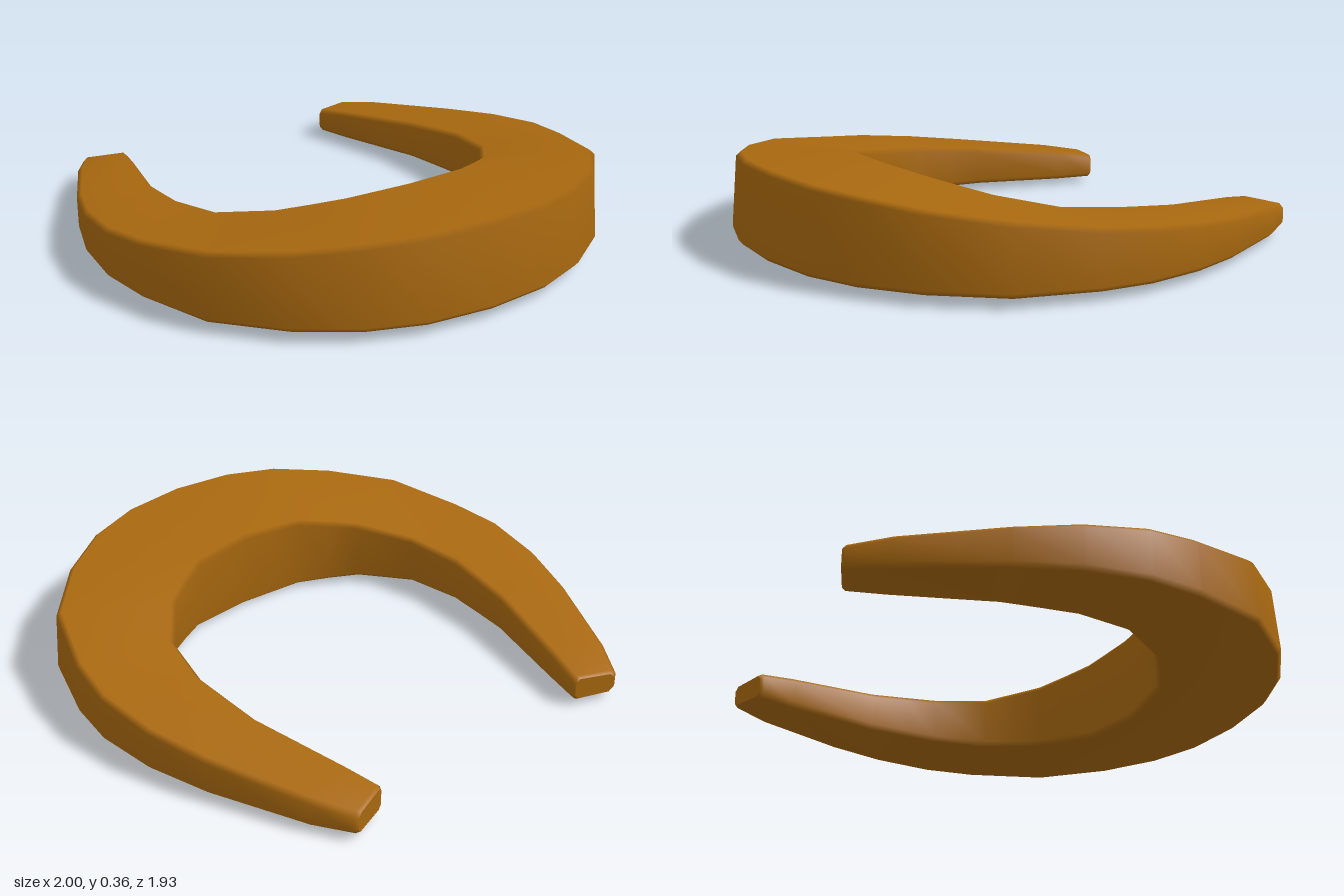
import * as THREE from 'three';

// Half of the shoe from toe to heel:
// outer x, z, top, bottom, then inner x, z, top, bottom
const HALF = [
  [0, 0.965, 0.365, 0.04, 0, 0.44, 0.335, 0],
  [0.26, 0.94, 0.36, 0.04, 0.125, 0.425, 0.33, 0.005],
  [0.47, 0.865, 0.35, 0.04, 0.25, 0.41, 0.325, 0.01],
  [0.68, 0.725, 0.325, 0.04, 0.36, 0.35, 0.305, 0.02],
  [0.88, 0.5, 0.295, 0.038, 0.46, 0.29, 0.285, 0.028],
  [0.975, 0.2, 0.255, 0.035, 0.6, 0.11, 0.245, 0.038],
  [1, 0, 0.235, 0.035, 0.645, -0.11, 0.222, 0.038],
  [0.973, -0.24, 0.208, 0.033, 0.633, -0.25, 0.205, 0.035],
  [0.9, -0.47, 0.18, 0.028, 0.62, -0.39, 0.188, 0.032],
  [0.74, -0.82, 0.14, 0.022, 0.52, -0.76, 0.147, 0.024],
  [0.65, -0.968, 0.115, 0.027, 0.48, -0.905, 0.125, 0.025],
];
const BEVEL = 0.018;

// Four-cornered section with every corner cut into a small bevel
function section([ox, oz, ot, ob, ix, iz, it, ib]) {
  const lean = 1 - 0.03 * Math.max(0, oz);   // outer wall leans in at the toe
  const under = 1 + 0.13 * Math.max(0, iz);  // inner wall undercuts at the toe
  const c = [
    new THREE.Vector3(ox * lean, ot, oz * lean),
    new THREE.Vector3(ox, ob, oz),
    new THREE.Vector3(ix * under, ib, iz * under),
    new THREE.Vector3(ix, it, iz),
  ];
  const toward = (a, b) => a.clone().add(b.clone().sub(a).setLength(BEVEL));
  return c.flatMap((p, k) => [toward(p, c[(k + 3) % 4]), toward(p, c[(k + 1) % 4])]);
}

// Heel tip: pull the last full ring back and add a smaller ring at the end
function bevelEnd(rings) {
  const last = rings[rings.length - 1];
  const prev = rings[rings.length - 2];
  const centre = last.reduce((s, p) => s.add(p), new THREE.Vector3()).divideScalar(last.length);
  rings[rings.length - 1] = last.map((p, j) => p.clone().lerp(prev[j], 0.08));
  rings.push(last.map((p) => p.clone().lerp(centre, 0.12)));
}

function shoeGeometry() {
  const mirrored = HALF.slice(1).reverse().map((s) => s.map((v, k) => (k % 4 === 0 ? -v : v)));
  const rings = [...mirrored, ...HALF].map(section);
  bevelEnd(rings);
  rings.reverse();
  bevelEnd(rings);
  rings.reverse();

  const n = 8;
  const last = rings.length - 1;
  const index = [];
  // Skin between neighbouring sections
  for (let i = 0; i < last; i++) {
    for (let j = 0; j < n; j++) {
      const k = (j + 1) % n;
      const a = i * n + j, b = i * n + k, c = (i + 1) * n + k, d = (i + 1) * n + j;
      index.push(a, b, c, a, c, d);
    }
  }
  // Flat heel caps on their own copies of the end rings
  const points = [...rings, rings[0], rings[last]].flat();
  const start = (last + 1) * n;
  const end = start + n;
  for (let j = 1; j < n - 1; j++) {
    index.push(start, start + j + 1, start + j);
    index.push(end, end + j, end + j + 1);
  }
  const g = new THREE.BufferGeometry().setFromPoints(points);
  g.setIndex(index);
  g.computeVertexNormals();
  return g;
}

export function createModel() {
  const group = new THREE.Group();
  group.name = 'horseshoe';
  const shoe = new THREE.Mesh(
    shoeGeometry(),
    new THREE.MeshStandardMaterial({ color: 0xa8680f })
  );
  shoe.name = 'shoe';
  group.add(shoe);
  return group;
}
